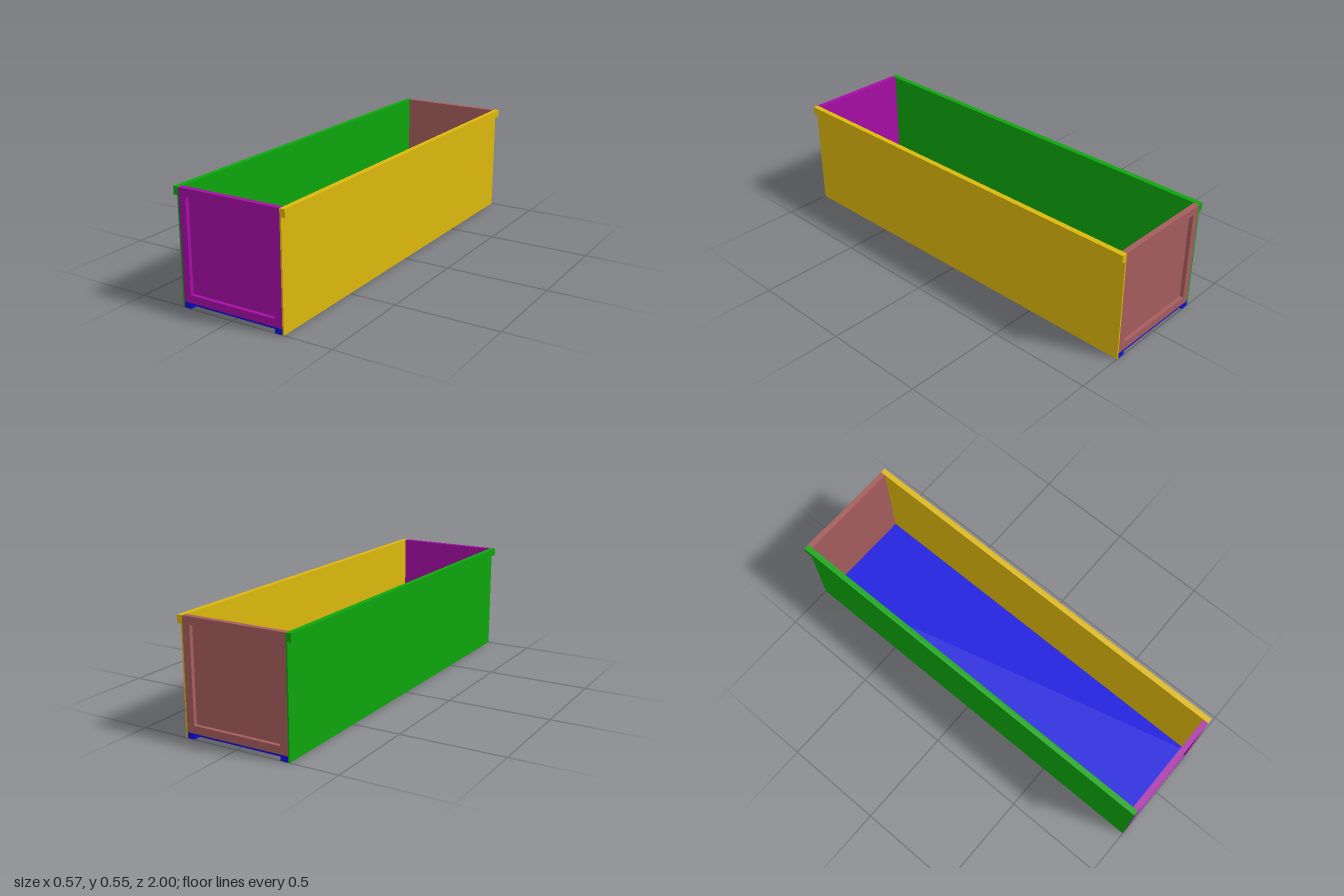
import * as THREE from 'three';

const HALF_W = 0.26;    // inner half width
const LENGTH = 2;
const HEIGHT = 0.545;
const THICK = 0.0265;   // full thickness of rims and runners
const SKIN = 0.0075;    // thin sheet thickness
const RIM = 0.037;      // width of rims and runners
const FLOOR_TOP = 0.027;

const material = (color) => new THREE.MeshStandardMaterial({ color, flatShading: true });

function polygon(points) {
  return new THREE.Shape(points.map(([x, y]) => new THREE.Vector2(x, y)));
}

function extrude(shape, depth) {
  return new THREE.ExtrudeGeometry(shape, { depth, bevelEnabled: false });
}

// Thin side wall with an outward lip along its top edge
function sideWall(side, color, name) {
  const lipBottom = HEIGHT - RIM;
  const points = [
    [HALF_W, 0], [HALF_W + SKIN, 0], [HALF_W + SKIN, lipBottom],
    [HALF_W + THICK, lipBottom], [HALF_W + THICK, HEIGHT], [HALF_W, HEIGHT],
  ].map(([x, y]) => [x * side, y]);
  const mesh = new THREE.Mesh(extrude(polygon(points), LENGTH), material(color));
  mesh.position.z = -LENGTH / 2;
  mesh.name = name;
  return mesh;
}

// End panel: thin sheet with a raised frame on its outer face
function endPanel(color, name) {
  const group = new THREE.Group();
  group.name = name;
  const mat = material(color);
  const rect = (inset) => [
    [-HALF_W + inset, FLOOR_TOP + inset], [HALF_W - inset, FLOOR_TOP + inset],
    [HALF_W - inset, HEIGHT - inset], [-HALF_W + inset, HEIGHT - inset],
  ];
  const sheet = new THREE.Mesh(extrude(polygon(rect(0)), SKIN), mat);
  sheet.name = name + 'Sheet';
  sheet.position.z = LENGTH / 2 - THICK;

  const frameShape = polygon(rect(0));
  frameShape.holes.push(polygon(rect(RIM)));
  const frame = new THREE.Mesh(extrude(frameShape, THICK - SKIN), mat);
  frame.name = name + 'Frame';
  frame.position.z = LENGTH / 2 - THICK + SKIN;
  group.add(sheet, frame);
  return group;
}

export function createModel() {
  const model = new THREE.Group();
  model.name = 'trough';

  // Floor sheet with a runner under each long edge
  const inner = HALF_W - RIM;
  const under = FLOOR_TOP - SKIN;
  const floor = new THREE.Mesh(extrude(polygon([
    [-HALF_W, 0], [-inner, 0], [-inner, under], [inner, under],
    [inner, 0], [HALF_W, 0], [HALF_W, FLOOR_TOP], [-HALF_W, FLOOR_TOP],
  ]), LENGTH), material(0x0d0ddc));
  floor.position.z = -LENGTH / 2;
  floor.name = 'floor';

  const back = endPanel(0xa55d5d, 'backPanel');
  back.rotation.y = Math.PI;

  model.add(
    floor,
    sideWall(1, 0xdcb70d, 'leftWall'),
    sideWall(-1, 0x0da50d, 'rightWall'),
    endPanel(0xa50da5, 'frontPanel'),
    back,
  );
  return model;
}
